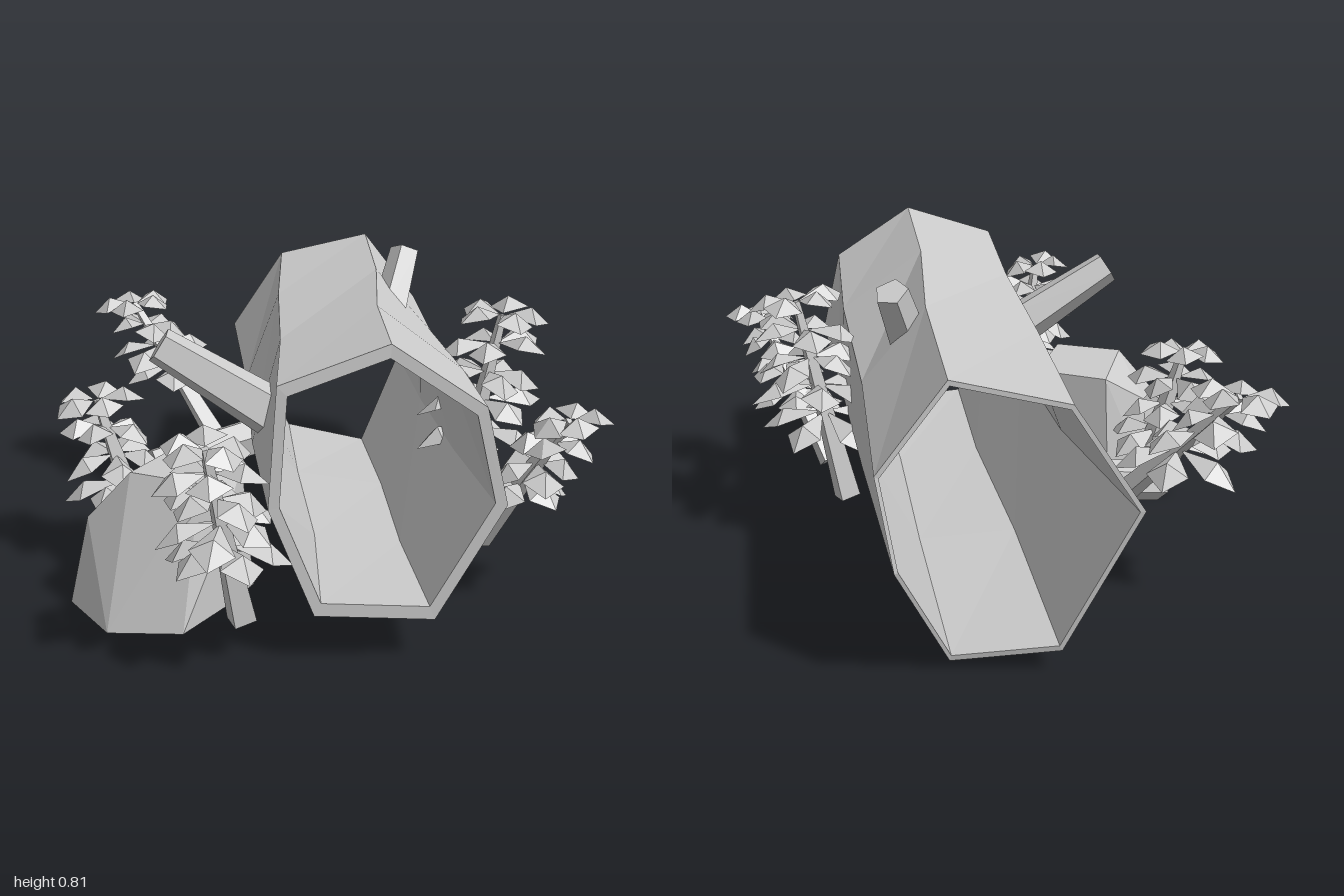
import * as THREE from 'three';
import { ConvexGeometry } from 'three/addons/geometries/ConvexGeometry.js';

const grey = new THREE.MeshStandardMaterial({ color: 0xcccccc, flatShading: true });
const thin = new THREE.MeshStandardMaterial({ color: 0xcccccc, flatShading: true, side: THREE.DoubleSide });
const V = (p) => new THREE.Vector3(...p);

function named(geometry, material, name) {
  const m = new THREE.Mesh(geometry, material);
  m.name = name;
  return m;
}

// Triangles from a list of corner points
function facets(points) {
  const g = new THREE.BufferGeometry().setFromPoints(points);
  g.computeVertexNormals();
  return g;
}

// Tapered low-poly rod from a to b
function rod(a, b, ra, rb, sides, name) {
  const A = V(a), B = V(b), d = B.clone().sub(A);
  const m = named(new THREE.CylinderGeometry(rb, ra, d.length(), sides), grey, name);
  m.position.copy(A).add(B).multiplyScalar(0.5);
  m.quaternion.setFromUnitVectors(new THREE.Vector3(0, 1, 0), d.normalize());
  return m;
}

// Hollow log: seven-sided rings from the front end to the back, then back along the inside
function log() {
  const front = [[0.2, 0.7, 0.73], [0.43, 0.79, 0.6], [0.64, 0.64, 0.52], [0.69, 0.4, 0.5],
    [0.54, 0.11, 0.57], [0.28, 0.13, 0.7], [0.18, 0.4, 0.74]].map(V);
  const back = [[-0.44, 0.67, -0.81], [-0.18, 0.735, -0.91], [-0.03, 0.52, -0.98], [-0.08, 0.3, -1],
    [-0.16, 0.02, -0.85], [-0.42, 0.06, -0.8], [-0.6, 0.42, -0.77]].map(V);
  const ring = (t, inner) => {
    const pts = front.map((p, j) => {
      const q = p.clone().lerp(back[j], t);
      if (t > 0 && t < 1) q.y -= 0.015 * Math.sin(t * Math.PI);
      if (t > 0 && t < 1) q.x += 0.012 * Math.sin(j * 2.3 + t * 9);
      return q;
    });
    const c = pts.reduce((s, p) => s.add(p), new THREE.Vector3()).divideScalar(pts.length);
    return pts.map((p) => p.lerp(c, inner));
  };
  const rings = [ring(0, 0), ring(0.3, 0), ring(0.64, 0), ring(1, 0),
    ring(1, 0.04), ring(0.64, 0.12), ring(0.3, 0.12), ring(0, 0.1), ring(0, 0)];
  const tris = [];
  for (let i = 0; i + 1 < rings.length; i++) {
    for (let j = 0; j < 7; j++) {
      const k = (j + 1) % 7;
      const [a, b, c, d] = [rings[i][j], rings[i][k], rings[i + 1][k], rings[i + 1][j]];
      tris.push(a, b, c, a, c, d);
    }
  }
  return named(facets(tris), grey, 'hollowLog');
}

// Folded kite leaf pointing along +x
function leafGeometry(length, width) {
  const root = V([0.01, 0, 0]), tip = V([length, -0.03, 0]);
  const mid = V([length * 0.62, 0.02, 0]);
  const l = V([length * 0.66, -0.015, width]), r = V([length * 0.66, -0.015, -width]);
  return facets([root, l, mid, mid, l, tip, root, mid, r, mid, tip, r]);
}

// Leaning stem with whorls of leaves
function plant({ base, top, reach, low, tiers, turn }) {
  const g = new THREE.Group();
  g.name = 'fern';
  g.add(rod(base, top, 0.04, 0.012, 4, 'stem'));
  const A = V(base), B = V(top);
  for (let i = 0; i < tiers; i++) {
    const t = i / (tiers - 1);
    const at = A.clone().lerp(B, low + (1 - low) * t);
    const size = reach * (1 - 0.3 * t);
    for (let k = 0; k < 5; k++) {
      const leaf = named(leafGeometry(size * (0.88 + 0.12 * Math.sin(k * 4 + i)), 0.055), thin, 'leaf');
      leaf.position.copy(at);
      leaf.rotation.order = 'YZX';
      leaf.rotation.set(0.25 * Math.sin(k * 3 + i), turn + k * Math.PI * 0.4 + i * 0.7, 0.12 - 0.3 * (1 - t) + 0.12 * Math.sin(k * 5 + i * 2));
      g.add(leaf);
    }
  }
  return g;
}

export function createModel() {
  const model = new THREE.Group();
  model.name = 'fallenLog';
  model.add(log());

  // Broken branch stubs
  model.add(rod([0.11, 0.62, -0.32], [0.12, 0.79, -0.43], 0.055, 0.045, 5, 'topStub'));
  model.add(rod([0.02, 0.49, 0.32], [-0.25, 0.68, 0.44], 0.07, 0.05, 5, 'sideStub'));
  model.add(rod([-0.26, 0.24, -0.2], [-0.5, 0.18, 0.02], 0.06, 0.055, 6, 'lowerStub'));

  // Boulder against the log
  const rock = [[-0.45, 0, 0.6], [-0.27, 0, 0.73], [-0.06, 0.03, 0.72], [0, 0.06, 0.58], [-0.03, 0.02, 0.36],
    [-0.3, 0, 0.31], [-0.41, 0.02, 0.4], [-0.4, 0.24, 0.58], [-0.27, 0.38, 0.58], [-0.07, 0.38, 0.59],
    [0, 0.27, 0.6], [-0.06, 0.36, 0.36], [-0.28, 0.36, 0.33], [-0.38, 0.28, 0.42]];
  model.add(named(new ConvexGeometry(rock.map(V)), grey, 'boulder'));

  // Plants around the log
  const plants = [
    { base: [-0.34, 0.12, -0.2], top: [-0.75, 0.57, -0.35], reach: 0.19, low: 0.62, tiers: 4, turn: 0.2 },
    { base: [-0.42, 0.14, 0.28], top: [-0.51, 0.47, 0.32], reach: 0.19, low: 0.3, tiers: 4, turn: 0.9 },
    { base: [0.1, 0.1, 0.72], top: [0.07, 0.57, 0.84], reach: 0.19, low: 0.45, tiers: 5, turn: 0.5 },
    { base: [0.37, 0.1, -0.14], top: [0.48, 0.68, -0.2], reach: 0.22, low: 0.45, tiers: 5, turn: 0.1 },
    { base: [0.5, 0.12, 0.06], top: [0.76, 0.52, 0.18], reach: 0.16, low: 0.5, tiers: 4, turn: 0.7 },
  ];
  for (const p of plants) model.add(plant(p));
  return model;
}
